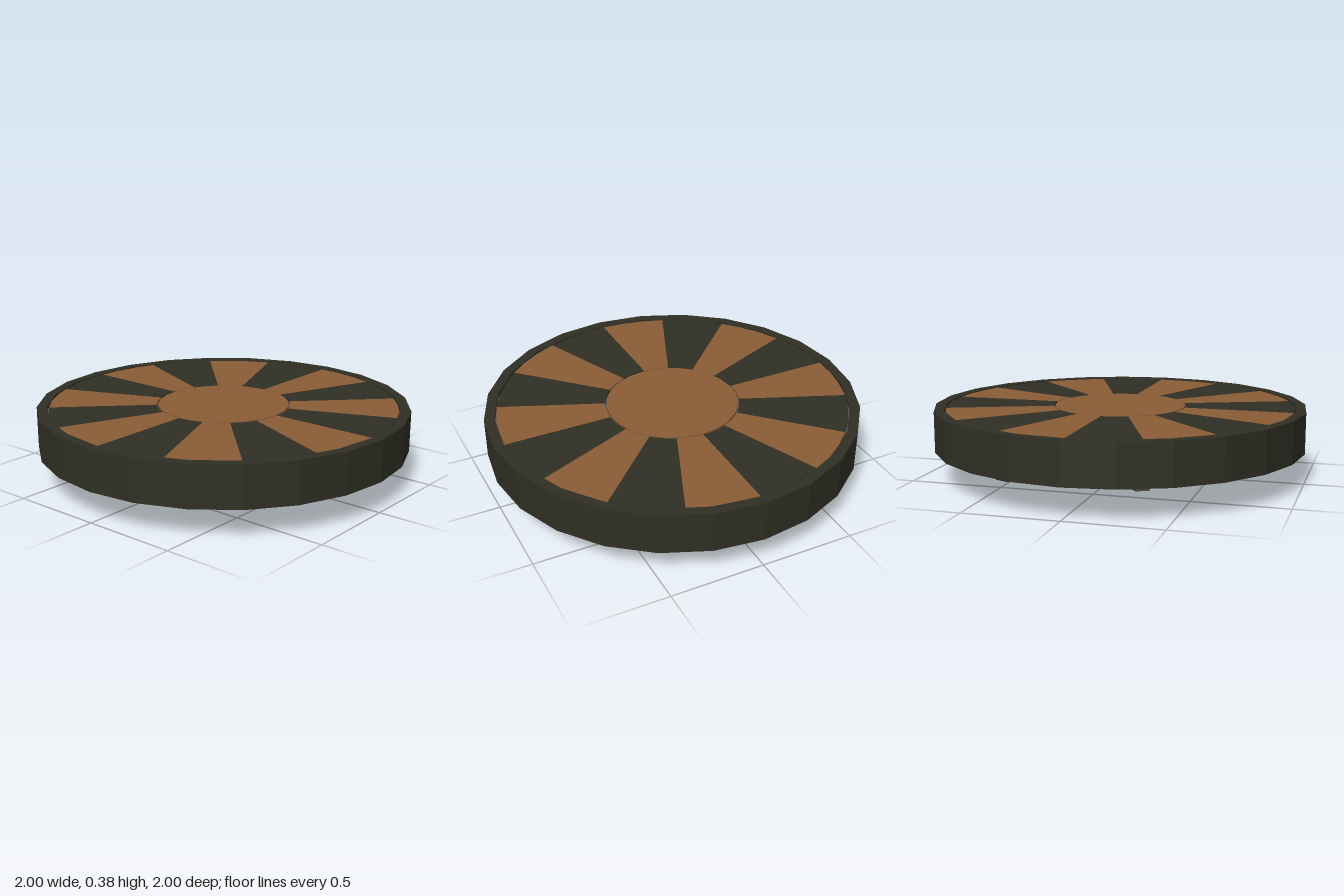
import * as THREE from 'three';

const material = (name, color, flatShading = true) => {
  const m = new THREE.MeshStandardMaterial({ color, flatShading });
  m.name = name;
  return m;
};

export function createModel() {
  const dark = material('darkPaint', 0x2f2f24);
  const wood = material('wood', 0x8b5d37);
  const grey = material('greyCore', 0x585354);

  const group = new THREE.Group();
  const SIDES = 24;

  const add = (name, geometry, mat, parent = group) => {
    const mesh = new THREE.Mesh(geometry, mat);
    mesh.name = name;
    parent.add(mesh);
    return mesh;
  };
  // Ring of revolution with a rectangular section
  const ring = (rIn, rOut, y0, y1, segments = SIDES, start = 0, length = Math.PI * 2) =>
    new THREE.LatheGeometry(
      [[rIn, y0], [rOut, y0], [rOut, y1], [rIn, y1], [rIn, y0]].map(([r, y]) => new THREE.Vector2(r, y)),
      segments, start, length);
  // Disc or frustum standing on y0
  const drum = (rTop, rBottom, y0, y1) =>
    new THREE.CylinderGeometry(rTop, rBottom, y1 - y0, SIDES).translate(0, (y0 + y1) / 2, 0);

  // Outer rim and the core plate inside it
  add('rim', ring(0.945, 1, 0.16, 0.38), dark);
  add('corePlate', drum(0.945, 0.945, 0.17, 0.362), grey);

  // Sixteen alternating wedges on the top
  const step = Math.PI / 8;
  for (let i = 0; i < 16; i++) {
    add('wedge', ring(0.36, 0.936, 0.36, 0.376, 3, i * step, step), i % 2 ? wood : dark);
  }
  add('centreDisc', drum(0.353, 0.353, 0.355, 0.377), wood);

  // Hub underneath: base, wooden band, neck, collar
  add('hubBase', drum(0.345, 0.365, 0, 0.05), dark);
  add('hubBand', drum(0.342, 0.342, 0.05, 0.072), wood);
  add('hubNeck', drum(0.345, 0.335, 0.072, 0.172), dark);
  add('hubCollar', drum(0.385, 0.385, 0.161, 0.172), wood);

  // Eight sloping braces from the hub base to the rim
  const from = new THREE.Vector2(0.32, 0.033);
  const to = new THREE.Vector2(0.915, 0.149);
  const span = to.clone().sub(from);
  for (let i = 0; i < 8; i++) {
    const arm = new THREE.Group();
    arm.name = 'braceArm';
    arm.rotation.y = (i + 0.5) * Math.PI / 4;
    const brace = add('brace', new THREE.BoxGeometry(span.length(), 0.038, 0.065), dark, arm);
    brace.position.set((from.x + to.x) / 2, (from.y + to.y) / 2, 0);
    brace.rotation.z = span.angle();
    group.add(arm);
  }
  return group;
}
